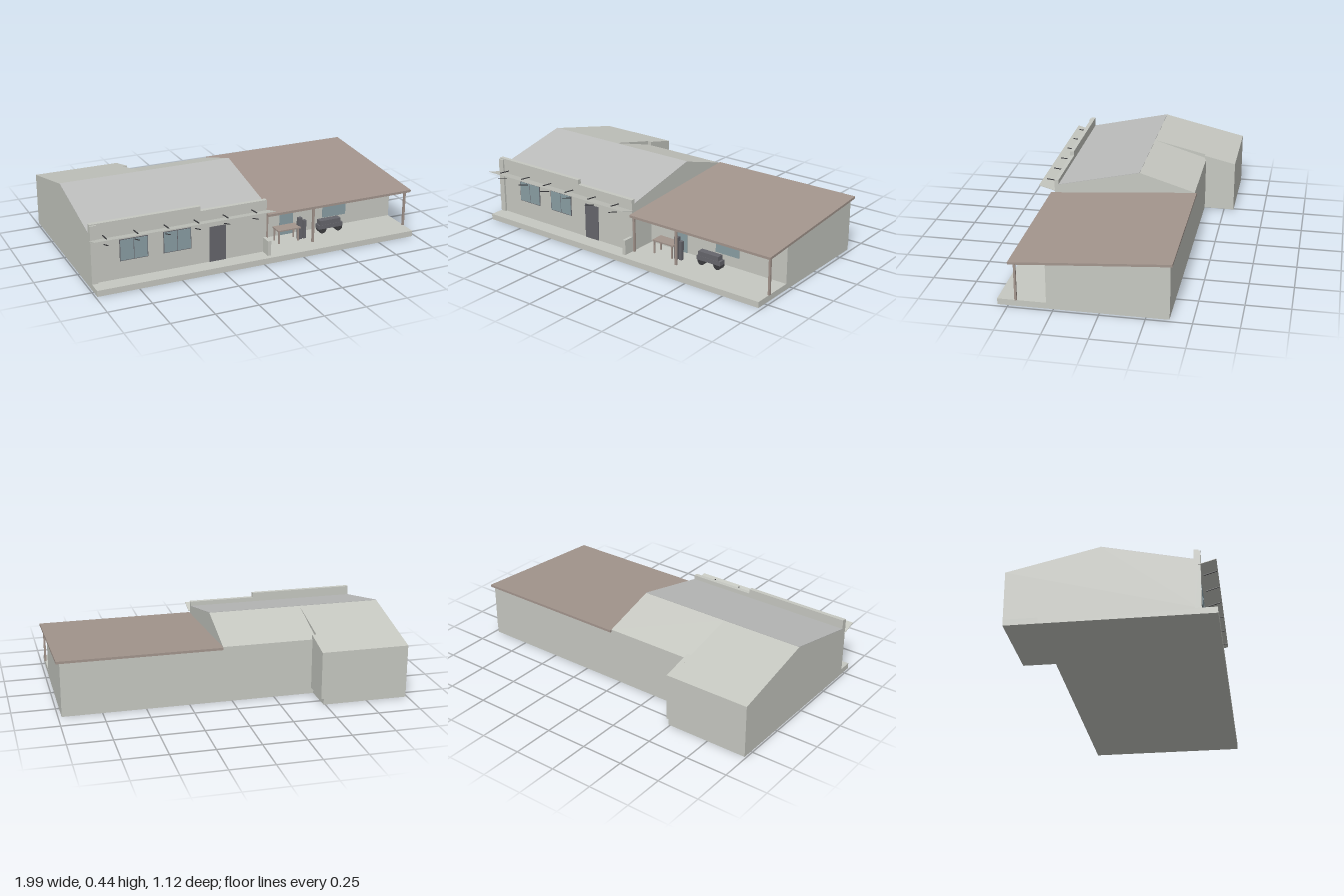
import * as THREE from 'three';

const mat = (name, color, side = THREE.FrontSide) => {
  const m = new THREE.MeshStandardMaterial({ color, side });
  m.name = name;
  return m;
};

export function createModel() {
  const house = new THREE.Group();
  house.name = 'house';
  const wall = mat('pale grey render', 0xc6c8c1);
  const roofGrey = mat('roof grey', 0xbcbdbc);
  const brown = mat('brown roof and timber', 0xa3958d);
  const dark = mat('dark grey', 0x66666c);
  const black = mat('black metal', 0x3c3c3f);
  const glass = mat('blue grey glass', 0x8a9ea4);

  const add = (name, geo, material, parent = house) => {
    const mesh = new THREE.Mesh(geo, material);
    mesh.name = name;
    parent.add(mesh);
    return mesh;
  };
  // Box from its low and high corner
  const box = (name, m, x0, x1, y0, y1, z0, z1, parent) =>
    add(name, new THREE.BoxGeometry(x1 - x0, y1 - y0, z1 - z0)
      .translate((x0 + x1) / 2, (y0 + y1) / 2, (z0 + z1) / 2), m, parent);
  // Side profile of [z, y] points, extruded from x0 to x1
  const prism = (name, m, x0, x1, pts, parent) => {
    const shape = new THREE.Shape(pts.map(([z, y]) => new THREE.Vector2(z, y)));
    const geo = new THREE.ExtrudeGeometry(shape, { depth: x1 - x0, bevelEnabled: false });
    return add(name, geo.rotateY(-Math.PI / 2).translate(x1, 0, 0), m, parent);
  };

  // Ground slab
  const floor = 0.035;
  box('slab', wall, -0.99, 0.98, 0, floor, -0.375, 0.56);
  box('rearWingSlab', wall, -0.99, -0.49, 0, floor, -0.56, -0.375);

  // Main house: the rear wing carries the shallow back slope further out
  prism('mainHouse', wall, -0.5, 0.055,
    [[0.465, floor], [0.465, 0.316], [-0.05, 0.433], [-0.378, 0.333], [-0.378, floor]]);
  prism('westHouse', wall, -0.99, -0.5,
    [[0.465, floor], [0.465, 0.316], [-0.05, 0.433], [-0.56, 0.315], [-0.56, floor]]);
  prism('rearWingEdge', wall, -0.5, -0.475,
    [[-0.37, floor], [-0.37, 0.359], [-0.56, 0.315], [-0.56, floor]]);
  prism('frontRoofSlope', roofGrey, -0.99, 0.055,
    [[0.445, 0.3205], [0.445, 0.323], [-0.05, 0.435], [-0.05, 0.4325]]);

  // Stepped parapet and corner pillar
  box('parapet', wall, -0.99, 0.055, 0.3, 0.35, 0.442, 0.467);
  box('raisedParapet', wall, -0.99, -0.35, 0.35, 0.378, 0.442, 0.467);
  box('cornerPillar', wall, -0.99, -0.955, floor, 0.372, 0.442, 0.477);

  // Canopy, tilted up outwards, with its rods
  prism('canopy', wall, -0.995, 0.065,
    [[0.465, 0.284], [0.56, 0.311], [0.56, 0.314], [0.465, 0.287]]);
  for (let i = 0; i < 6; i++) {
    const x = -0.918 + i * 0.1755;
    prism('canopyRod', black, x - 0.003, x + 0.003,
      [[0.465, 0.304], [0.537, 0.311], [0.537, 0.315], [0.465, 0.308]]);
    prism('canopyStrut', black, x - 0.003, x + 0.003,
      [[0.487, 0.26], [0.558, 0.281], [0.558, 0.285], [0.487, 0.264]]);
  }

  // Framed windows and doors, thin plates on a wall at z
  const opening = (name, x0, x1, y0, y1, z, panes) => {
    const g = new THREE.Group();
    g.name = name;
    house.add(g);
    box('frame', dark, x0, x1, y0, y1, z - 0.002, z + 0.003, g);
    const t = 0.004, w = (x1 - x0 - t) / panes;
    for (let i = 0; i < panes; i++) {
      box('glassPane', glass, x0 + t + i * w, x0 + (i + 1) * w, y0 + t, y1 - t, z, z + 0.005, g);
    }
  };
  opening('leftWindow', -0.825, -0.662, 0.138, 0.264, 0.465, 2);
  opening('rightWindow', -0.572, -0.408, 0.138, 0.264, 0.465, 2);
  box('frontDoor', dark, -0.298, -0.198, floor, 0.245, 0.46, 0.469);

  // Low wall beside the porch
  box('lowWall', wall, 0.035, 0.055, floor, 0.124, 0.455, 0.53);

  // Side wing below the lean-to roof
  prism('sideWing', wall, 0.055, 0.98,
    [[0.29, floor], [0.29, 0.272], [-0.378, 0.321], [-0.378, floor]]);
  prism('leanToRoof', brown, 0.055, 1.0,
    [[0.49, 0.254], [0.49, 0.268], [-0.39, 0.333], [-0.39, 0.319]]);
  box('glassDoor', glass, 0.228, 0.316, floor, 0.24, 0.286, 0.294);
  box('porchWindow', glass, 0.515, 0.672, 0.098, 0.22, 0.286, 0.294);

  // Porch beam and posts
  box('porchBeam', brown, 0.055, 0.99, 0.249, 0.262, 0.451, 0.463);
  for (const x of [0.062, 0.362, 0.979]) {
    box('porchPost', brown, x - 0.006, x + 0.006, floor, 0.255, 0.451, 0.463);
  }

  // Table
  const table = new THREE.Group();
  table.name = 'table';
  house.add(table);
  box('tableTop', brown, 0.16, 0.305, 0.112, 0.12, 0.337, 0.414, table);
  for (const x of [0.168, 0.293]) {
    for (const z of [0.346, 0.405]) {
      box('tableLeg', brown, x - 0.004, x + 0.004, floor, 0.112, z - 0.004, z + 0.004, table);
    }
  }

  // Two upright stands by the table
  box('tallStand', dark, 0.3, 0.326, floor, 0.168, 0.372, 0.396);
  box('shortStand', dark, 0.334, 0.352, floor, 0.148, 0.374, 0.394);

  // Small cart
  const cart = new THREE.Group();
  cart.name = 'cart';
  house.add(cart);
  box('cartBody', dark, 0.445, 0.605, 0.065, 0.09, 0.336, 0.38, cart);
  box('cartTop', dark, 0.455, 0.592, 0.09, 0.117, 0.338, 0.378, cart);
  for (const x of [0.474, 0.582]) {
    for (const z of [0.342, 0.372]) {
      add('cartWheel', new THREE.CylinderGeometry(0.024, 0.024, 0.01, 16)
        .rotateX(Math.PI / 2).translate(x, 0.06, z), black, cart);
    }
  }

  return house;
}
